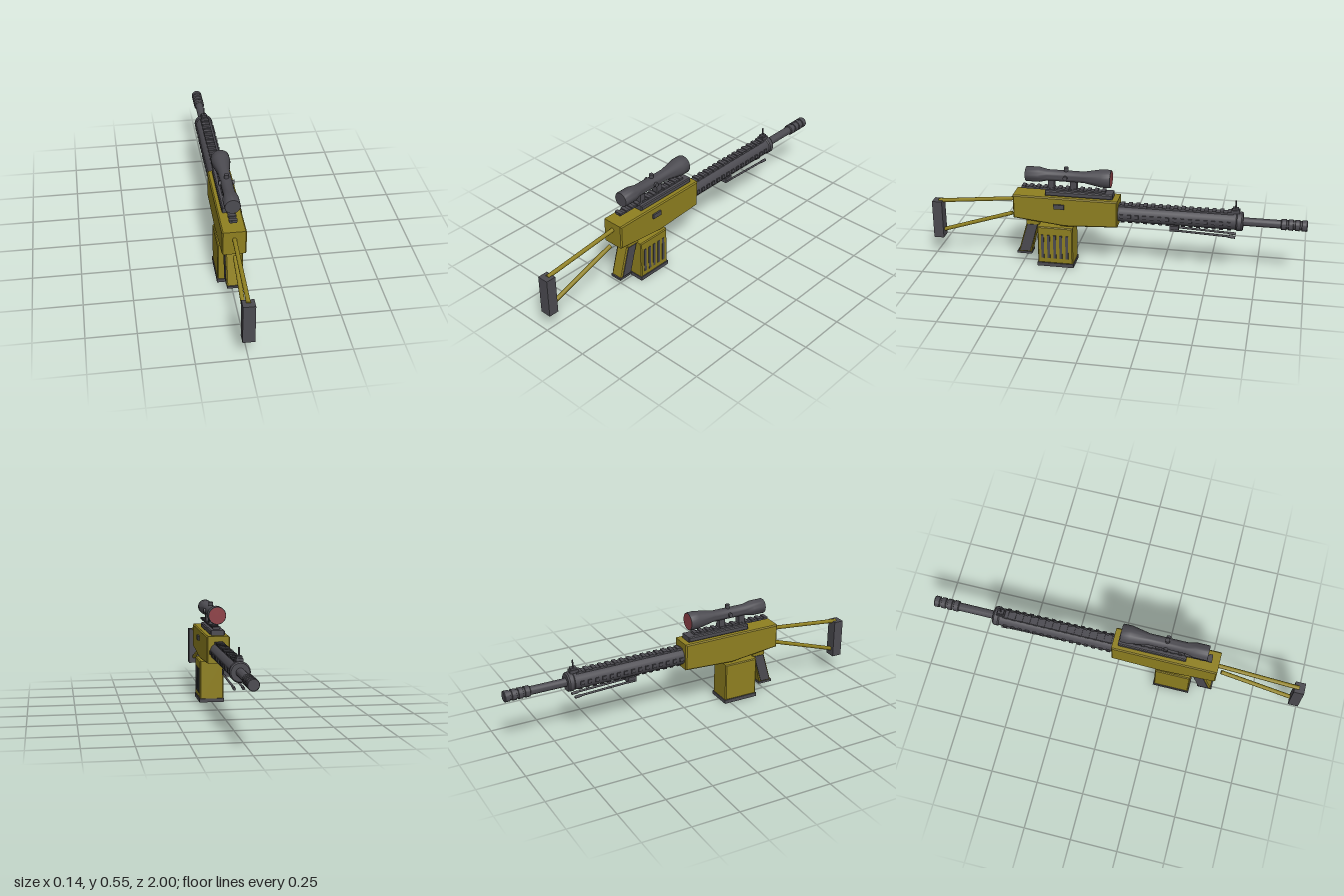
import * as THREE from 'three';
import { toCreasedNormals } from 'three/addons/utils/BufferGeometryUtils.js';

const olive = new THREE.MeshStandardMaterial({ color: 0x8f8020 });
olive.name = 'olive';
const grey = new THREE.MeshStandardMaterial({ color: 0x4c4b51 });
grey.name = 'dark grey';
const red = new THREE.MeshStandardMaterial({ color: 0x8f4147 });
red.name = 'lens red';

export function createModel() {
  const model = new THREE.Group();

  const add = (name, geometry, material, parent = model) => {
    const mesh = new THREE.Mesh(geometry, material);
    mesh.name = name;
    parent.add(mesh);
    return mesh;
  };
  const group = (name) => {
    const g = new THREE.Group();
    g.name = name;
    model.add(g);
    return g;
  };
  // Box given by its centre x, its width and its y and z ranges
  const box = (name, x, w, y0, y1, z0, z1, material, parent) => {
    const mesh = add(name, new THREE.BoxGeometry(w, y1 - y0, z1 - z0), material, parent);
    mesh.position.set(x, (y0 + y1) / 2, (z0 + z1) / 2);
    return mesh;
  };
  // Turned part along z from [radius, z] pairs, z increasing
  const turned = (name, pts, y, material, parent, sides = 20) => {
    const lathe = new THREE.LatheGeometry(pts.map(([r, z]) => new THREE.Vector2(r, z)), sides);
    lathe.rotateX(Math.PI / 2);
    const mesh = add(name, toCreasedNormals(lathe, 0.6), material, parent);
    mesh.position.y = y;
    return mesh;
  };
  // Side profile of [z, y] pairs extruded across x, with chamfered edges
  const slab = (name, pts, width, bevel, material, parent, x = 0) => {
    const shape = new THREE.Shape(pts.map(([z, y]) => new THREE.Vector2(z, y)));
    const geo = new THREE.ExtrudeGeometry(shape, {
      depth: width - 2 * bevel, bevelEnabled: bevel > 0,
      bevelSize: bevel, bevelThickness: bevel, bevelOffset: -bevel, bevelSegments: 1,
    });
    geo.translate(0, 0, -(width - 2 * bevel) / 2).rotateY(-Math.PI / 2);
    const mesh = add(name, geo, material, parent);
    mesh.position.x = x;
    return mesh;
  };
  // Round rod between two points
  const rod = (name, a, b, r, material, parent) => {
    const from = new THREE.Vector3(...a), to = new THREE.Vector3(...b);
    const mesh = add(name, new THREE.CylinderGeometry(r, r, from.distanceTo(to), 10), material, parent);
    mesh.position.copy(from).add(to).multiplyScalar(0.5);
    mesh.quaternion.setFromUnitVectors(new THREE.Vector3(0, 1, 0), to.sub(from).normalize());
    return mesh;
  };

  // Receiver with a shallow V-shaped belly
  slab('receiver', [[-0.02, 0.4], [-0.02, 0.255], [0.26, 0.24], [0.54, 0.27], [0.54, 0.4]], 0.122, 0.006, olive);
  box('sideButton', 0.064, 0.012, 0.34, 0.365, 0.262, 0.318, grey);

  // Skeleton stock
  const stock = group('stock');
  rod('upperStrut', [0, 0.358, 0.53], [0, 0.312, 0.97], 0.011, olive, stock);
  rod('lowerStrut', [0, 0.271, 0.56], [0, 0.143, 0.95], 0.011, olive, stock);
  box('buttPad', 0, 0.06, 0.105, 0.315, 0.946, 1, grey, stock);

  // Magazine with slots on its left side
  const magazine = group('magazine');
  slab('magazineBody', [[0.22, 0.02], [0.41, 0.02], [0.41, 0.23], [0.22, 0.23]], 0.13, 0.005, olive, magazine);
  box('magazineBase', 0, 0.136, 0.002, 0.022, 0.216, 0.414, grey, magazine);
  box('magazineNeck', 0, 0.07, 0.225, 0.25, 0.25, 0.29, olive, magazine);
  for (let i = 0; i < 5; i++) {
    const z = 0.251 + i * 0.033;
    box('magazineSlot', 0.0655, 0.005, 0.05, 0.185, z - 0.0075, z + 0.0075, grey, magazine);
  }

  // Slanted grip with dark side panels and a foot
  const grip = group('grip');
  slab('gripBody', [[0.415, 0.235], [0.455, 0.062], [0.525, 0.062], [0.475, 0.235]], 0.07, 0.006, olive, grip);
  for (const side of [-1, 1]) {
    slab('gripPanel', [[0.415, 0.228], [0.46, 0.07], [0.515, 0.07], [0.47, 0.228]], 0.008, 0, grey, grip, side * 0.034);
  }
  box('gripTop', 0, 0.076, 0.23, 0.252, 0.405, 0.475, olive, grip);
  box('gripFoot', 0, 0.066, 0.051, 0.063, 0.452, 0.532, grey, grip);

  // Handguard, slatted on top, bottom and both sides
  const handguard = group('handguard');
  turned('handguardTube', [
    [0, -0.672], [0.045, -0.672], [0.051, -0.664], [0.051, -0.642],
    [0.046, -0.636], [0.046, -0.01], [0, -0.01],
  ], 0.318, grey, handguard);
  box('topRail', 0, 0.04, 0.352, 0.367, -0.62, -0.01, grey, handguard);
  for (let i = 0; i < 15; i++) {
    const z = -0.6 + i * 0.04;
    box('topSlat', 0, 0.044, 0.36, 0.373, z - 0.01, z + 0.01, grey, handguard);
    box('bottomSlat', 0, 0.03, 0.268, 0.28, z - 0.01, z + 0.01, grey, handguard);
    for (const side of [-1, 1]) {
      box('sideSlat', side * 0.045, 0.012, 0.308, 0.328, z - 0.01, z + 0.01, grey, handguard);
    }
  }

  // Front sight
  const sight = group('frontSight');
  box('sightBase', 0, 0.034, 0.365, 0.382, -0.652, -0.608, grey, sight);
  box('sightBlock', 0, 0.026, 0.38, 0.392, -0.646, -0.614, grey, sight);
  rod('sightPost', [0, 0.385, -0.63], [0, 0.432, -0.63], 0.004, grey, sight);

  // Barrel and ribbed muzzle
  turned('barrel', [[0, -0.88], [0.022, -0.88], [0.022, -0.66], [0, -0.66]], 0.318, grey);
  const ribs = [[0, -1], [0.026, -1], [0.029, -0.996]];
  for (let i = 0; i < 3; i++) {
    const z = -0.972 + i * 0.034;
    ribs.push([0.029, z], [0.024, z + 0.002], [0.024, z + 0.01], [0.029, z + 0.012]);
  }
  ribs.push([0.029, -0.868], [0.024, -0.864], [0, -0.864]);
  turned('muzzle', ribs, 0.318, grey);

  // Folded bipod under the handguard
  const bipod = group('bipod');
  box('bipodMount', 0, 0.05, 0.242, 0.272, -0.338, -0.292, grey, bipod);
  for (const side of [-1, 1]) {
    const x = side * 0.022;
    rod('bipodLeg', [x, 0.249, -0.3], [x, 0.237, -0.61], 0.0055, grey, bipod);
    rod('bipodFoot', [x, 0.237, -0.6], [x, 0.234, -0.635], 0.0075, grey, bipod);
  }

  // Scope rail
  const rail = group('scopeRail');
  slab('railBase', [[0.01, 0.4], [0.37, 0.4], [0.37, 0.428], [0.01, 0.428]], 0.077, 0.005, grey, rail);
  box('railStrip', 0, 0.034, 0.426, 0.435, 0.05, 0.5, grey, rail);
  for (let i = 0; i < 12; i++) {
    const z = 0.06 + i * 0.039;
    box('railSlat', 0, 0.042, 0.431, 0.441, z - 0.01, z + 0.01, grey, rail);
  }

  // Scope with mounts, adjustment knobs and a red front lens
  const scope = group('scope');
  turned('scopeTube', [
    [0, 0.022], [0.046, 0.022], [0.048, 0.026], [0.048, 0.07], [0.03, 0.165],
    [0.03, 0.36], [0.04, 0.405], [0.04, 0.472], [0.038, 0.476], [0, 0.476],
  ], 0.504, grey, scope, 24);
  const lens = add('frontLens', new THREE.CircleGeometry(0.044, 24), red, scope);
  lens.rotation.y = Math.PI;
  lens.position.set(0, 0.504, 0.0205);
  for (const z of [0.22, 0.34]) {
    box('scopeMount', 0, 0.034, 0.436, 0.485, z - 0.017, z + 0.017, grey, scope);
  }
  rod('topKnob', [0, 0.525, 0.26], [0, 0.553, 0.26], 0.012, grey, scope);
  rod('sideKnob', [-0.04, 0.504, 0.26], [0.04, 0.504, 0.26], 0.012, grey, scope);

  return model;
}
